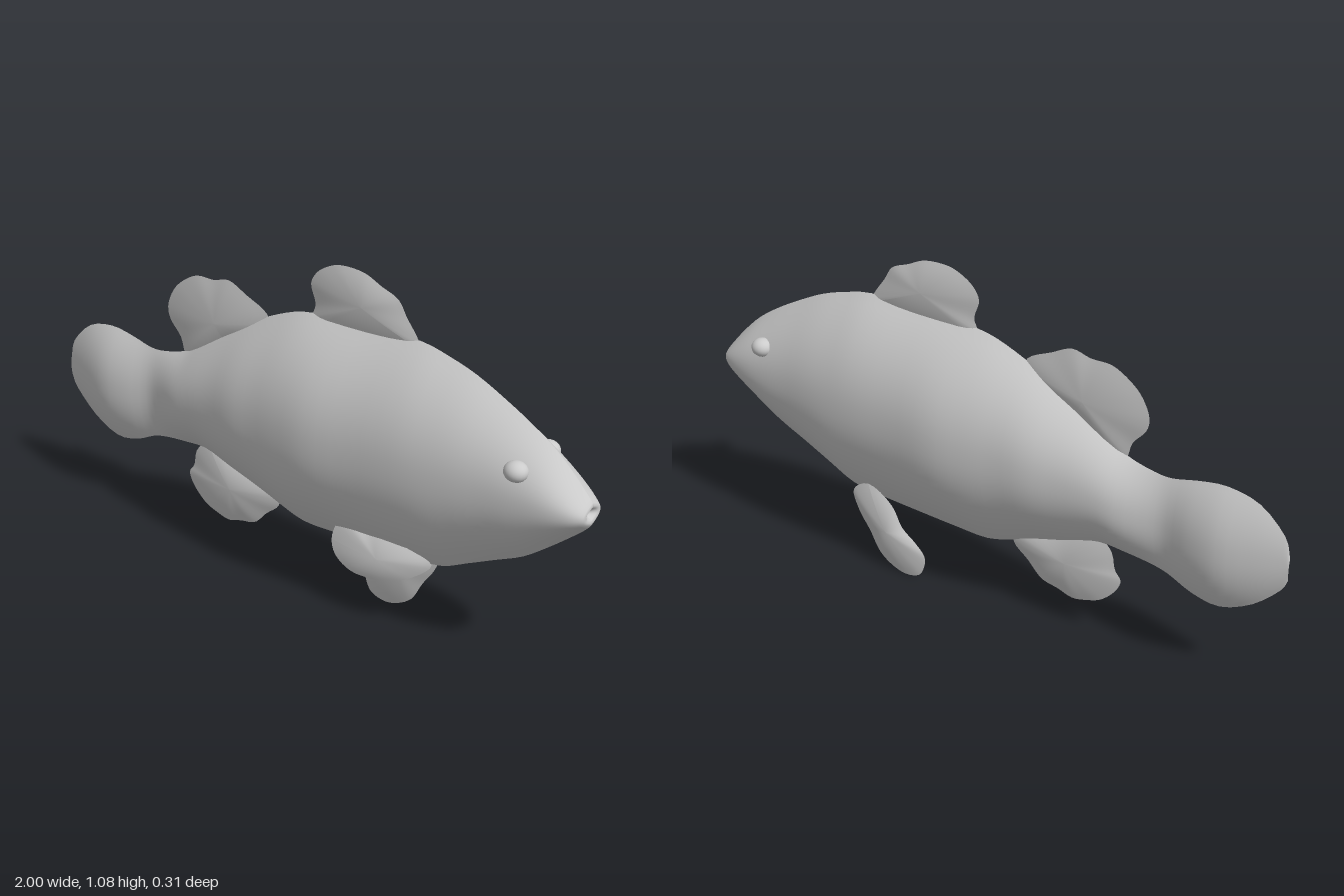
import * as THREE from 'three';
import { mergeGeometries } from 'three/addons/utils/BufferGeometryUtils.js';

const material = new THREE.MeshStandardMaterial({ color: 0xcccccc });

// Smooth grid surface; flip reverses the facing
function surface(nu, nv, point, flip) {
  const pos = [], index = [];
  for (let i = 0; i <= nu; i++) {
    for (let j = 0; j <= nv; j++) pos.push(...point(i / nu, j / nv));
  }
  for (let i = 0; i < nu; i++) {
    for (let j = 0; j < nv; j++) {
      const a = i * (nv + 1) + j, b = a + nv + 1;
      if (flip) index.push(a, a + 1, b, b, a + 1, b + 1);
      else index.push(a, b, a + 1, b, b + 1, a + 1);
    }
  }
  const g = new THREE.BufferGeometry();
  g.setAttribute('position', new THREE.Float32BufferAttribute(pos, 3));
  g.setIndex(index);
  g.computeVertexNormals();
  return g;
}

// Two mirrored halves meeting in a sharp rim
function twoSided(name, nu, nv, point) {
  const halves = [1, -1].map((side) => surface(nu, nv, (u, v) => point(u, v, side), side < 0));
  const mesh = new THREE.Mesh(mergeGeometries(halves), material);
  mesh.name = name;
  return mesh;
}

// Body and tail sections: x, belly height, back height, half width
const sections = [
  [-1, 0.41, 0.48, 0.004], [-0.98, 0.37, 0.545, 0.01], [-0.9, 0.295, 0.62, 0.035],
  [-0.8, 0.25, 0.645, 0.058], [-0.71, 0.263, 0.635, 0.05], [-0.63, 0.3, 0.617, 0.031],
  [-0.57, 0.315, 0.62, 0.038], [-0.48, 0.325, 0.645, 0.068], [-0.4, 0.328, 0.695, 0.083],
  [-0.3, 0.297, 0.76, 0.1], [-0.2, 0.268, 0.82, 0.122], [-0.1, 0.235, 0.87, 0.132],
  [0, 0.207, 0.905, 0.146], [0.12, 0.21, 0.917, 0.157], [0.27, 0.218, 0.922, 0.147],
  [0.42, 0.228, 0.928, 0.142], [0.52, 0.242, 0.908, 0.135], [0.61, 0.285, 0.88, 0.125],
  [0.7, 0.33, 0.838, 0.113], [0.79, 0.375, 0.79, 0.104], [0.87, 0.435, 0.738, 0.094],
  [0.93, 0.485, 0.685, 0.08], [0.975, 0.525, 0.638, 0.06], [0.997, 0.555, 0.608, 0.036],
  // mouth hollow
  [0.975, 0.576, 0.586, 0.002],
];

function createBody() {
  const spline = (f) => new THREE.CatmullRomCurve3(sections.map(f), false, 'catmullrom');
  const profile = spline((s) => new THREE.Vector3(s[0], s[1], s[2]));
  const girth = spline((s) => new THREE.Vector3(s[3], 0, 0));
  return twoSided('body', (sections.length - 1) * 3, 24, (u, v, side) => {
    const p = profile.getPoint(u), w = Math.max(0.001, girth.getPoint(u).x);
    const t = v * 2 - 1;
    const y = (p.y + p.z) / 2 + t * (p.z - p.y) / 2;
    return [p.x, y, side * w * (1 - Math.abs(t) ** 2.2)];
  });
}

// Lens-shaped fin inside a closed outline; plane(y) gives the z of its middle
function createFin(name, outline, half, plane = () => 0) {
  let pts = outline.map(([x, y]) => new THREE.Vector2(x, y));
  if (THREE.ShapeUtils.isClockWise(pts)) pts = pts.reverse();
  const curve = new THREE.CatmullRomCurve3(
    pts.map((p) => new THREE.Vector3(p.x, p.y, 0)), true, 'centripetal');
  const c = new THREE.Box2().setFromPoints(pts).getCenter(new THREE.Vector2());
  return twoSided(name, 52, 7, (u, v, side) => {
    const p = curve.getPoint(u % 1), s = 1 - v;
    const y = c.y + (p.y - c.y) * s;
    return [c.x + (p.x - c.x) * s, y, plane(y) + side * half * (1 - s * s)];
  });
}

export function createModel() {
  const model = new THREE.Group();
  model.name = 'fish';
  model.add(createBody());

  // Fins on the centre line
  model.add(createFin('frontDorsalFin', [
    [0.03, 0.88], [0.045, 0.94], [0.028, 1], [0.05, 1.04], [0.1, 1.072], [0.14, 1.083],
    [0.22, 1.08], [0.28, 1.055], [0.34, 1.03], [0.37, 0.985], [0.41, 0.93], [0.42, 0.9],
  ], 0.02));
  model.add(createFin('rearDorsalFin', [
    [-0.47, 0.63], [-0.495, 0.69], [-0.537, 0.74], [-0.545, 0.78], [-0.52, 0.84],
    [-0.48, 0.88], [-0.42, 0.913], [-0.35, 0.916], [-0.29, 0.93], [-0.22, 0.9],
    [-0.14, 0.86], [-0.13, 0.82], [-0.3, 0.72],
  ], 0.018));
  model.add(createFin('analFin', [
    [-0.39, 0.35], [-0.44, 0.31], [-0.455, 0.25], [-0.475, 0.22], [-0.46, 0.18],
    [-0.41, 0.13], [-0.36, 0.11], [-0.31, 0.1], [-0.26, 0.115], [-0.2, 0.13],
    [-0.15, 0.18], [-0.1, 0.225], [-0.1, 0.26], [-0.25, 0.3],
  ], 0.02));

  // Paired fins: the left one is swept back and flared, the right one hangs down
  model.add(createFin('leftPelvicFin', [
    [0.17, 0.28], [0.2, 0.3], [0.28, 0.295], [0.34, 0.304], [0.42, 0.29], [0.52, 0.268],
    [0.46, 0.21], [0.4, 0.18], [0.32, 0.16], [0.24, 0.16], [0.18, 0.19], [0.16, 0.23],
  ], 0.018, (y) => 0.045 + (0.3 - y) * 0.25));
  model.add(createFin('rightPelvicFin', [
    [0.48, 0.25], [0.46, 0.18], [0.42, 0.12], [0.38, 0.05], [0.33, 0.015], [0.28, 0.002],
    [0.23, 0.015], [0.21, 0.045], [0.205, 0.09], [0.24, 0.13], [0.29, 0.17],
    [0.33, 0.24], [0.42, 0.29],
  ], 0.02, () => -0.05));

  // Bulging eyes
  for (const side of [1, -1]) {
    const eye = new THREE.Mesh(new THREE.SphereGeometry(1, 20, 14), material);
    eye.name = side > 0 ? 'leftEye' : 'rightEye';
    eye.scale.set(0.036, 0.03, 0.034);
    eye.position.set(0.8, 0.68, side * 0.08);
    model.add(eye);
  }
  return model;
}
